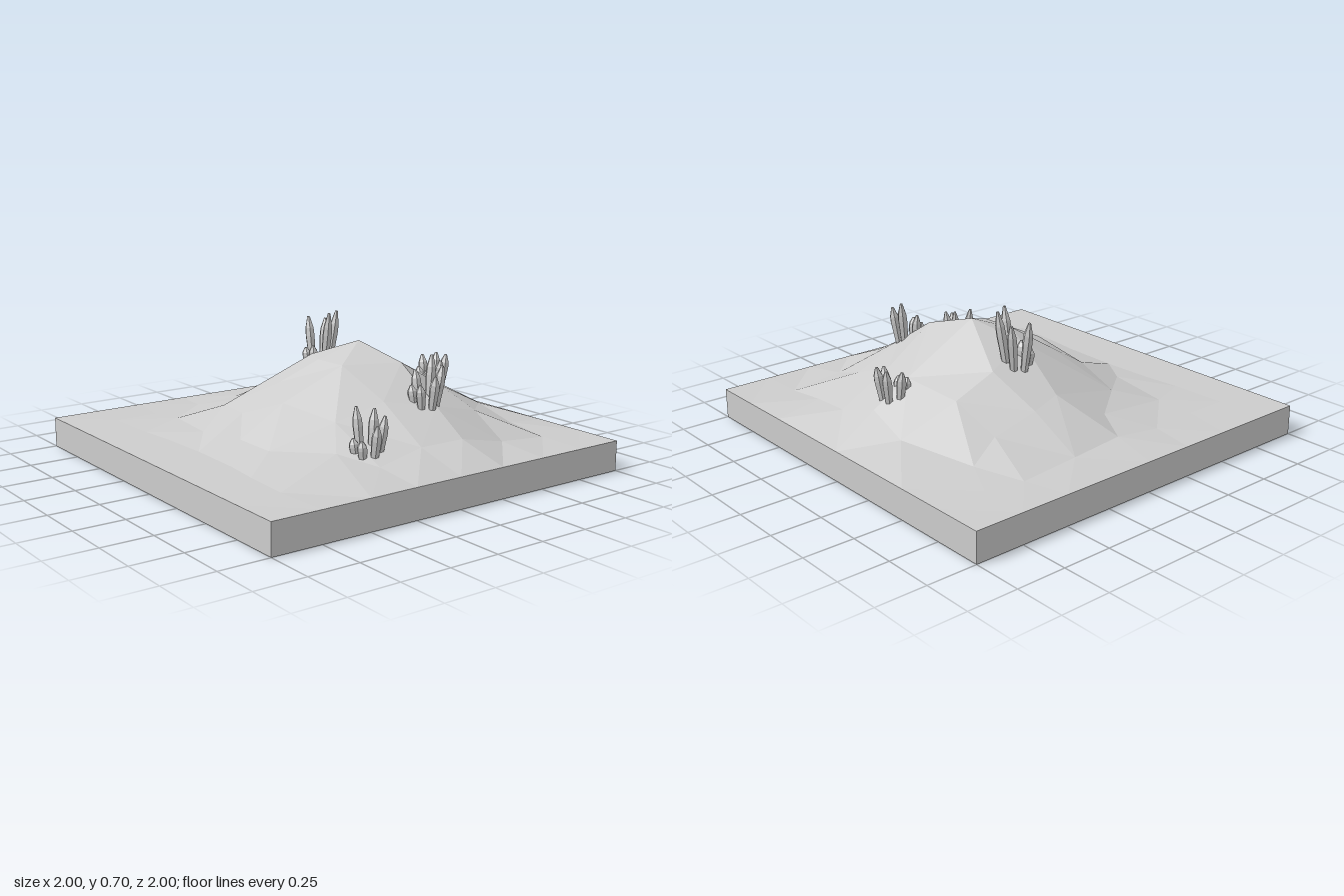
import * as THREE from 'three';

const stone = new THREE.MeshStandardMaterial({ color: 0xcccccc, flatShading: true });
stone.name = 'pale grey stone';

const SLAB = 0.15; // slab thickness, also the height of the terrain's rim

// Rows of hill points from back to front, each [x, z, height]
const hillRows = [
  [[-0.75, -0.75, 0.155], [-0.57, -0.66, 0.175], [-0.2, -0.78, 0.21], [0.05, -0.75, 0.27], [0.25, -0.79, 0.22], [0.52, -0.75, 0.18], [0.75, -0.75, 0.155]],
  [[-0.8, -0.57, 0.16], [-0.5, -0.48, 0.24], [-0.25, -0.5, 0.34], [0.05, -0.55, 0.38], [0.27, -0.5, 0.36], [0.5, -0.53, 0.27], [0.76, -0.47, 0.18]],
  [[-0.78, -0.25, 0.17], [-0.5, -0.24, 0.3], [-0.25, -0.28, 0.43], [0.05, -0.16, 0.59], [0.31, -0.22, 0.515], [0.57, -0.22, 0.35], [0.78, -0.2, 0.24]],
  [[-0.76, 0.04, 0.18], [-0.47, -0.08, 0.33], [-0.17, -0.03, 0.5], [0, 0.05, 0.51], [0.18, 0.04, 0.51], [0.45, 0, 0.38], [0.75, 0.02, 0.23]],
  [[-0.78, 0.28, 0.16], [-0.58, 0.13, 0.21], [-0.43, 0.33, 0.235], [-0.1, 0.21, 0.4], [0.13, 0.35, 0.36], [0.41, 0.25, 0.31], [0.78, 0.28, 0.19]],
  [[-0.75, 0.55, 0.155], [-0.56, 0.53, 0.17], [-0.22, 0.58, 0.18], [-0.12, 0.42, 0.27], [0.07, 0.55, 0.2], [0.31, 0.55, 0.2], [0.58, 0.37, 0.22]],
];

// Crystal clusters: centre, foot height, and crystal lengths going right, back, left, front
const clusters = [
  { at: [-0.25, 0.41, -0.13], lengths: [0.29, 0.29, 0.24, 0.25, 0.1, 0.12] },
  { at: [0.05, 0.29, -0.635], lengths: [0.15, 0.17, 0.17, 0.16, 0.11, 0.1] },
  { at: [0.525, 0.34, -0.19], lengths: [0.16, 0.2, 0.24, 0.17, 0.11, 0.12] },
  { at: [0.65, 0.19, 0.25], lengths: [0.17, 0.2, 0.22, 0.23, 0.1, 0.1] },
];

// Faceted hill: the rows are framed by a level rim, then each cell is split on its shorter diagonal
function makeHill() {
  const steps = [-1, -0.75, -0.5, -0.25, 0, 0.25, 0.5, 0.75, 1];
  const frontRow = steps.slice(1, -1).map((x, i) => [x + 0.04 * Math.sin(i * 2), 0.75 + 0.02 * Math.cos(i), 0.154]);
  const rim = (z) => steps.map((x) => [x, z, SLAB]);
  const rows = [
    rim(-1),
    ...[...hillRows, frontRow].map((row, i) => [[-1, steps[i + 1], SLAB], ...row, [1, steps[i + 1], SLAB]]),
    rim(1),
  ].map((row) => row.map(([x, z, y]) => new THREE.Vector3(x, y, z)));

  const corners = [];
  for (let r = 0; r < 8; r++) {
    for (let c = 0; c < 8; c++) {
      const a = rows[r][c], b = rows[r][c + 1], d = rows[r + 1][c], e = rows[r + 1][c + 1];
      if (a.distanceTo(e) < b.distanceTo(d)) corners.push(a, d, e, a, e, b);
      else corners.push(a, d, b, b, d, e);
    }
  }
  const geometry = new THREE.BufferGeometry().setFromPoints(corners);
  geometry.computeVertexNormals();
  return new THREE.Mesh(geometry, stone);
}

// Six-sided crystal, widening slightly before its blunt point
function makeCrystal(length) {
  const profile = [[0, 0], [0.018, 0], [0.025, 0.6], [0.023, 0.76], [0.007, 1], [0, 1]]
    .map(([r, t]) => new THREE.Vector2(r, t * length));
  const crystal = new THREE.Mesh(new THREE.LatheGeometry(profile, 6), stone);
  crystal.name = 'crystal';
  return crystal;
}

// Ring of six crystals leaning outwards
function makeCluster({ at, lengths }) {
  const cluster = new THREE.Group();
  cluster.name = 'crystalCluster';
  cluster.position.set(...at);
  lengths.forEach((length, i) => {
    const arm = new THREE.Group();
    arm.rotation.y = (i * Math.PI) / 3;
    const crystal = makeCrystal(length);
    crystal.position.x = 0.05;
    crystal.rotation.z = -0.15;
    arm.add(crystal);
    cluster.add(arm);
  });
  return cluster;
}

export function createModel() {
  const model = new THREE.Group();
  model.name = 'crystalHill';

  const slab = new THREE.Mesh(new THREE.BoxGeometry(2, SLAB, 2), stone);
  slab.name = 'baseSlab';
  slab.position.y = SLAB / 2;

  const hill = makeHill();
  hill.name = 'hill';

  model.add(slab, hill, ...clusters.map(makeCluster));
  return model;
}
